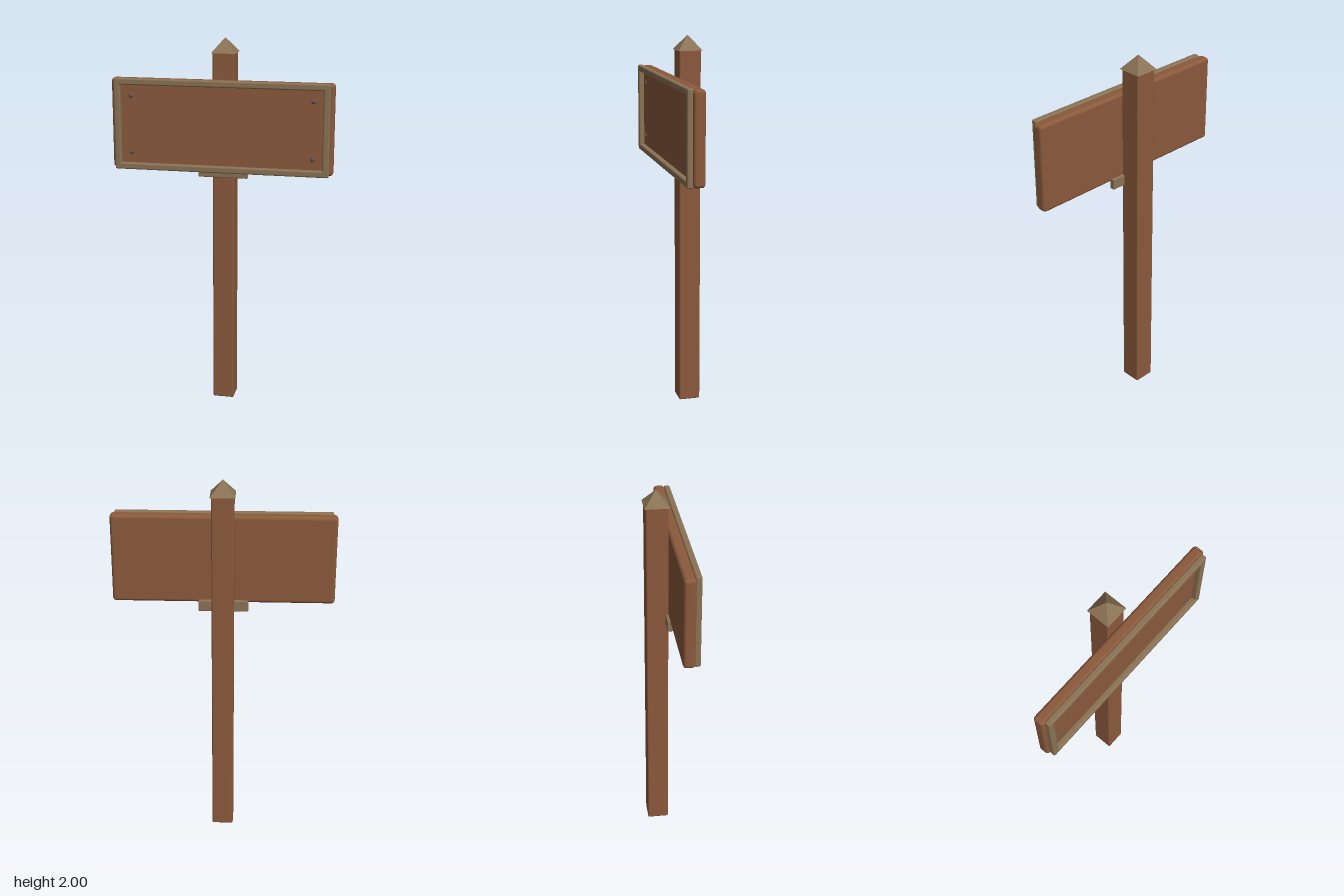
import * as THREE from 'three';
import { RoundedBoxGeometry } from 'three/addons/geometries/RoundedBoxGeometry.js';

export function createModel() {
  const group = new THREE.Group();
  group.name = 'signpost';
  const material = (name, color, flatShading = false) =>
    new THREE.MeshStandardMaterial({ name, color, flatShading });
  const wood = material('brown wood', 0x8b5a3c);
  const trim = material('tan trim', 0x8b7355);
  const metal = material('dark metal', 0x62584c);

  const add = (name, geometry, mat, x, y, z, parent = group) => {
    const mesh = new THREE.Mesh(geometry, mat);
    mesh.name = name;
    mesh.position.set(x, y, z);
    parent.add(mesh);
    return mesh;
  };
  const rounded = (w, h, d, r) => new RoundedBoxGeometry(w, h, d, 3, r);

  // Square post, set behind the board
  const postZ = -0.041;
  add('post', rounded(0.115, 1.93, 0.115, 0.008), wood, 0, 0.965, postZ);

  // Four-sided pointed cap, slightly wider than the post
  const capGeometry = new THREE.ConeGeometry(0.064 * Math.SQRT2, 0.077, 4)
    .rotateY(Math.PI / 4).toNonIndexed();
  capGeometry.computeVertexNormals();
  add('postCap', capGeometry, trim, 0, 1.9615, postZ);

  // Board and the support block beneath it
  const boardY = 1.552;
  add('board', rounded(1.17, 0.476, 0.061, 0.018), wood, 0, boardY, 0.0465);
  add('supportBlock', rounded(0.264, 0.06, 0.03, 0.005), trim, 0, 1.3, 0.016);

  // Raised frame: top, bottom and side rails
  const frame = new THREE.Group();
  frame.name = 'frame';
  group.add(frame);
  for (const s of [-1, 1]) {
    add(s > 0 ? 'topRail' : 'bottomRail', rounded(1.132, 0.034, 0.032, 0.008), trim,
      0, boardY + s * 0.224, 0.089, frame);
    add(s > 0 ? 'leftRail' : 'rightRail', rounded(0.034, 0.476, 0.032, 0.008), trim,
      s * 0.549, boardY, 0.089, frame);
  }

  // Domed bolts in the board corners
  const bolt = new THREE.SphereGeometry(0.013, 16, 8, 0, Math.PI * 2, 0, Math.PI / 2)
    .rotateX(Math.PI / 2).scale(1, 1, 0.7);
  for (const x of [-0.48, 0.48])
    for (const y of [1.4, 1.7]) add('bolt', bolt, metal, x, y, 0.0768);

  return group;
}
